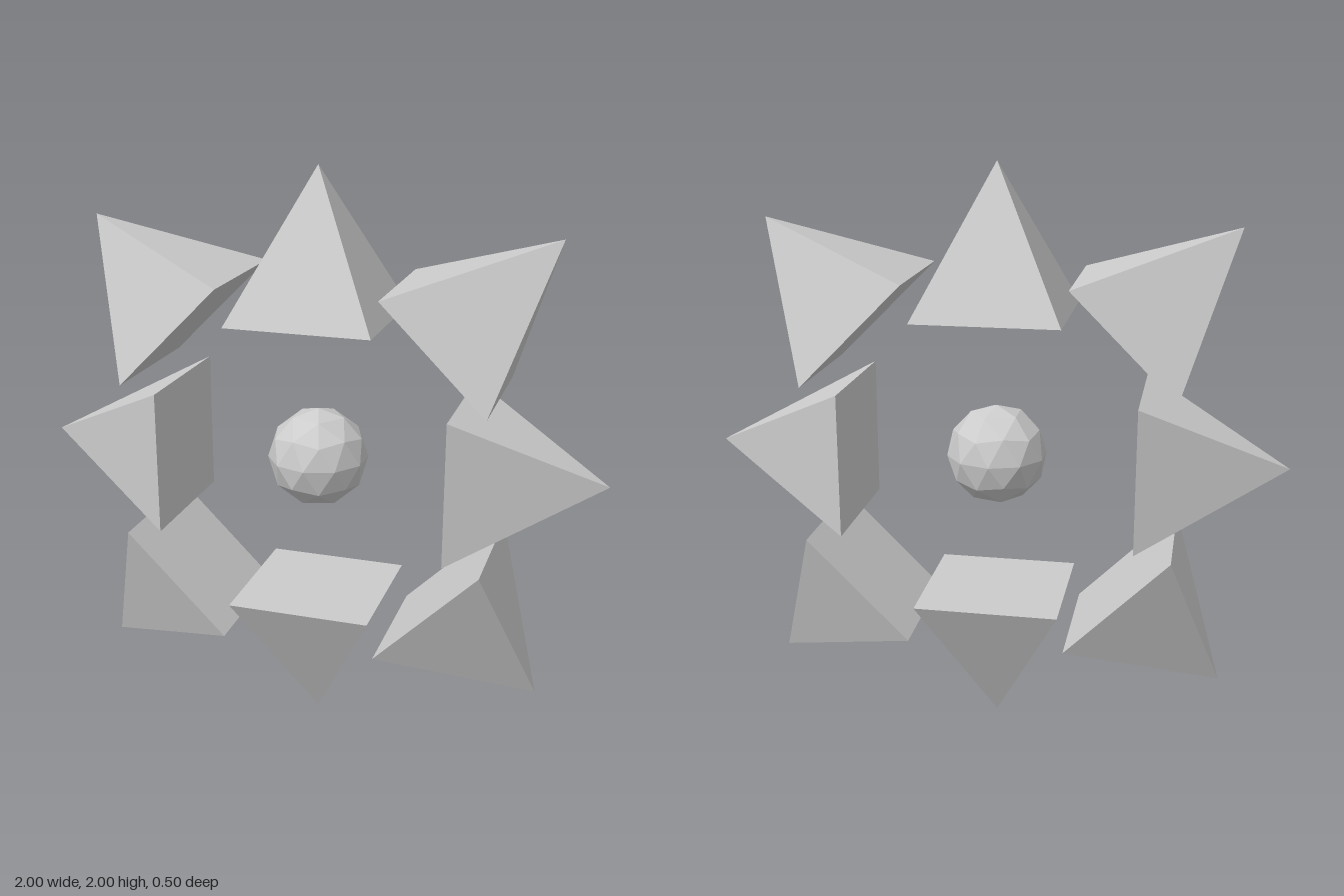
import * as THREE from 'three';

const CENTER_Y = 1;
const SIZE = 0.5; // pyramid height and base width

export function createModel() {
  const model = new THREE.Group();
  model.name = 'pyramidRing';
  const material = new THREE.MeshStandardMaterial({ color: 0xcccccc, flatShading: true });

  // Square pyramid, sides turned parallel to the axes
  const pyramid = new THREE.ConeGeometry(SIZE / Math.SQRT2, SIZE, 4, 1);
  pyramid.rotateY(Math.PI / 4);

  // Eight pyramids pointing outwards; the diagonal ones sit further out
  for (let i = 0; i < 8; i++) {
    const angle = (i * Math.PI) / 4;
    const distance = i % 2 ? 0.625 * Math.SQRT2 : 0.75;
    const spike = new THREE.Mesh(pyramid, material);
    spike.name = `pyramid${i + 1}`;
    spike.position.set(Math.cos(angle) * distance, CENTER_Y + Math.sin(angle) * distance, 0);
    spike.rotation.z = angle - Math.PI / 2;
    model.add(spike);
  }

  // Faceted ball in the middle, one corner straight up
  const ball = new THREE.IcosahedronGeometry(0.175, 1);
  ball.rotateX(-Math.atan((1 + Math.sqrt(5)) / 2));
  ball.rotateY(Math.PI / 2);
  const core = new THREE.Mesh(ball, material);
  core.name = 'centerBall';
  core.position.y = CENTER_Y;
  model.add(core);

  return model;
}
